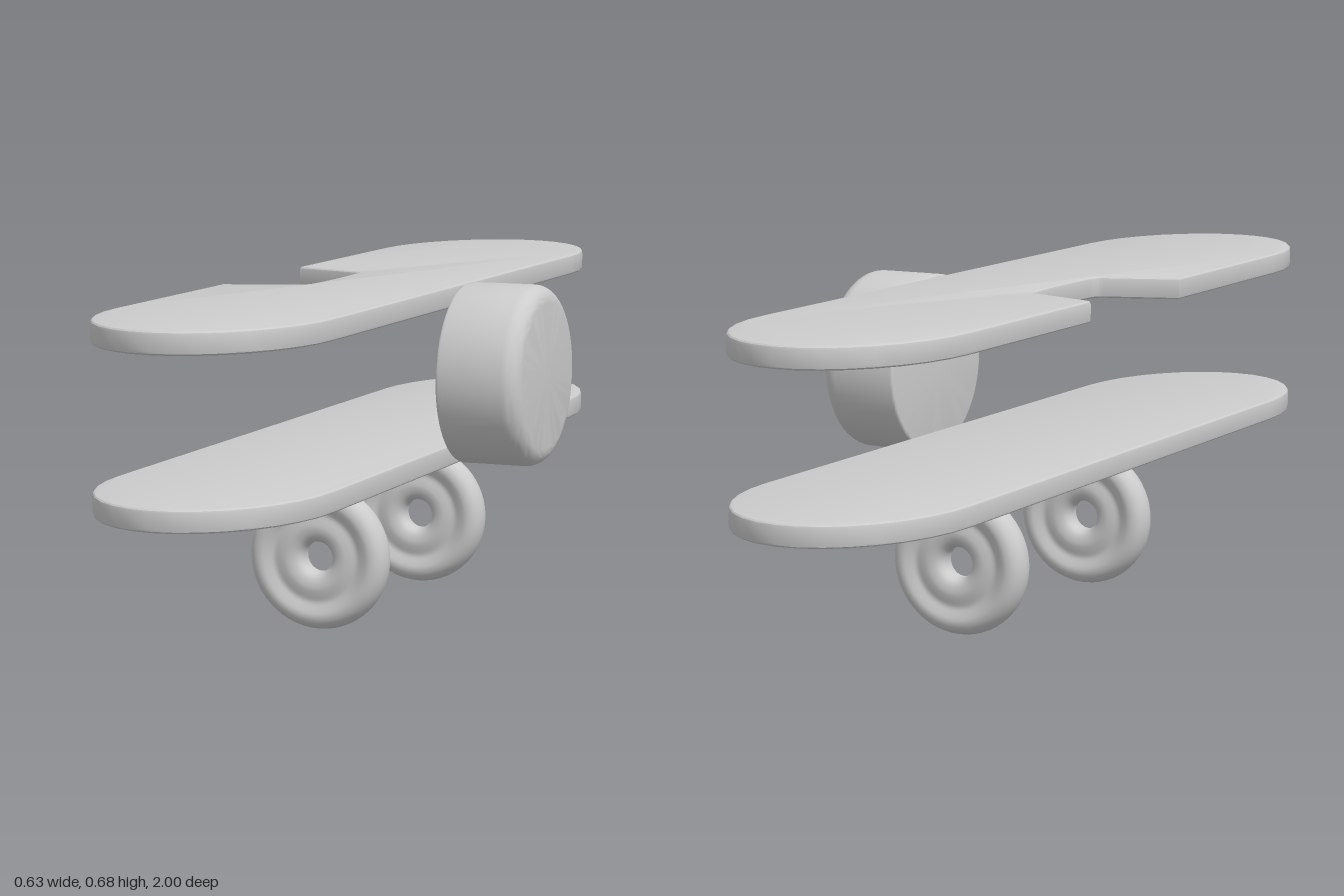
import * as THREE from 'three';
import { toCreasedNormals } from 'three/addons/utils/BufferGeometryUtils.js';

const grey = new THREE.MeshStandardMaterial({ color: 0xcccccc });
grey.name = 'plain grey';

function addMesh(parent, name, geometry, x, y, z) {
  const mesh = new THREE.Mesh(geometry, grey);
  mesh.name = name;
  mesh.position.set(x, y, z);
  parent.add(mesh);
  return mesh;
}

// Long board with rounded tips; the upper one has a cockpit cut-out in its trailing edge
function wingGeometry(withCutout) {
  const half = 0.2265, straight = 0.68, tip = 0.32, steps = 16;
  const shape = new THREE.Shape();
  shape.moveTo(half, -straight);
  for (const end of [1, -1]) {
    for (let i = 0; i <= steps; i++) {
      const a = (Math.PI * i) / steps;
      shape.lineTo(end * half * Math.cos(a), end * (straight + tip * Math.sin(a)));
    }
    if (end === 1 && withCutout) {
      shape.lineTo(-half, 0.2);
      shape.lineTo(-0.076, 0.148);
      shape.quadraticCurveTo(-0.062, 0.142, -0.061, 0.115);
      shape.quadraticCurveTo(-0.053, 0, -0.061, -0.115);
      shape.quadraticCurveTo(-0.062, -0.142, -0.076, -0.148);
      shape.lineTo(-half, -0.2);
    }
  }
  shape.closePath();
  const bevel = 0.007;
  const g = new THREE.ExtrudeGeometry(shape, {
    depth: 0.045 - 2 * bevel, curveSegments: 6,
    bevelThickness: bevel, bevelSize: bevel, bevelOffset: -bevel, bevelSegments: 3,
  });
  g.rotateX(-Math.PI / 2);
  g.translate(0, bevel, 0);
  return toCreasedNormals(g, 0.4);
}

// Drum with a broad rounded front rim and a fine back rim, turned to point along +x
function noseGeometry() {
  const R = 0.185, L = 0.174, back = 0.006, front = 0.036;
  const profile = [new THREE.Vector2(0, 0)];
  for (let i = 0; i <= 4; i++) {
    const a = (Math.PI / 2) * (i / 4);
    profile.push(new THREE.Vector2(R - back + back * Math.sin(a), back - back * Math.cos(a)));
  }
  for (let i = 0; i <= 8; i++) {
    const a = (Math.PI / 2) * (i / 8);
    profile.push(new THREE.Vector2(R - front + front * Math.cos(a), L - front + front * Math.sin(a)));
  }
  profile.push(new THREE.Vector2(0, L));
  const g = toCreasedNormals(new THREE.LatheGeometry(profile, 64), 0.5);
  return g.rotateZ(-Math.PI / 2);
}

// Bulging tyre and hub ring with a shallow groove between them and an open axle hole
function wheelGeometry() {
  const side = [
    [0.031, 0], [0.033, 0.015], [0.042, 0.026], [0.06, 0.031], [0.075, 0.029], [0.09, 0.026],
    [0.104, 0.031], [0.118, 0.035], [0.133, 0.031], [0.144, 0.018], [0.148, 0],
  ];
  const lower = side.map(([r, h]) => new THREE.Vector3(r, -h, 0));
  const upper = side.slice(1, -1).reverse().map(([r, h]) => new THREE.Vector3(r, h, 0));
  const loop = new THREE.CatmullRomCurve3([...lower, ...upper], true);
  const profile = loop.getPoints(60).map((p) => new THREE.Vector2(p.x, p.y));
  return new THREE.LatheGeometry(profile, 56).rotateX(Math.PI / 2);
}

export function createModel() {
  const model = new THREE.Group();
  model.name = 'biplane';

  addMesh(model, 'upperWing', wingGeometry(true), -0.0915, 0.636, 0);
  addMesh(model, 'lowerWing', wingGeometry(false), -0.0915, 0.313, 0);
  addMesh(model, 'noseCowling', noseGeometry(), 0.142, 0.498, 0);

  const wheel = wheelGeometry();
  addMesh(model, 'leftWheel', wheel, -0.069, 0.148, 0.274);
  addMesh(model, 'rightWheel', wheel, -0.069, 0.148, -0.274);
  return model;
}
